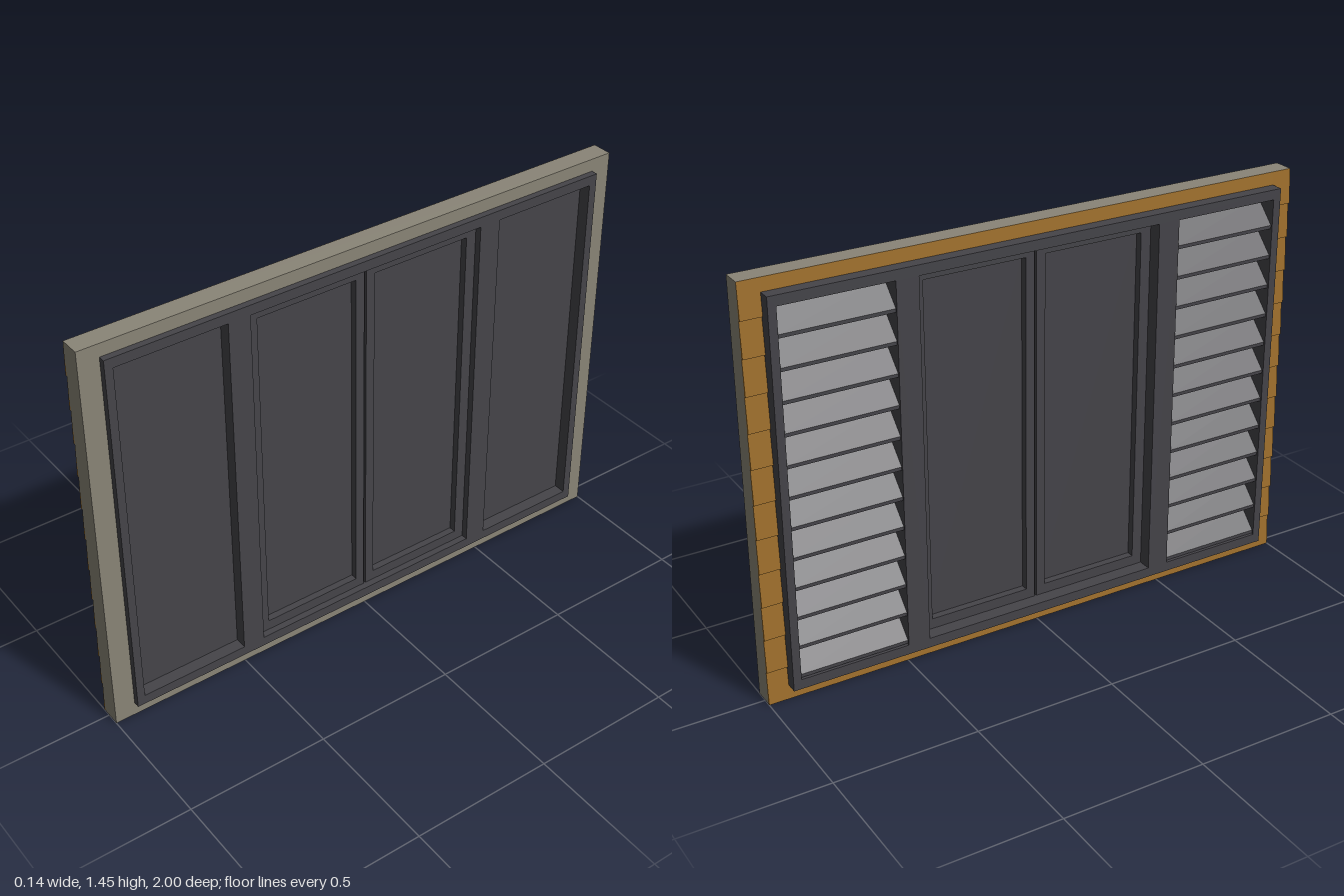
import * as THREE from 'three';

const wallMat = new THREE.MeshStandardMaterial({ color: 0x8a8577 });
wallMat.name = 'wall grey';
const sidingMat = new THREE.MeshStandardMaterial({ color: 0xa0702c });
sidingMat.name = 'siding brown';
const frameMat = new THREE.MeshStandardMaterial({ color: 0x454449 });
frameMat.name = 'frame charcoal';

const HEIGHT = 1.445, ROWS = 12, ROW = HEIGHT / ROWS;

function rect(target, z0, z1, y0, y1) {
  target.moveTo(z0, y0);
  target.lineTo(z1, y0);
  target.lineTo(z1, y1);
  target.lineTo(z0, y1);
  target.closePath();
  return target;
}

// Slab in the z-y plane with rectangular openings, spanning x0..x1
function slab(name, mat, outer, holes, x0, x1) {
  const shape = rect(new THREE.Shape(), ...outer);
  for (const h of holes) shape.holes.push(rect(new THREE.Path(), ...h));
  const geo = new THREE.ExtrudeGeometry(shape, { depth: x1 - x0, bevelEnabled: false });
  geo.rotateY(-Math.PI / 2);
  geo.translate(x1, 0, 0);
  const mesh = new THREE.Mesh(geo, mat);
  mesh.name = name;
  return mesh;
}

// Lapped boards: each row sticks out most at its lower edge
function siding(name, y0, y1, z0, z1) {
  const back = -0.024, out = y => -0.025 - 0.007 * (1 - y / ROW + Math.floor(y / ROW + 1e-6));
  const s = new THREE.Shape();
  s.moveTo(back, y0);
  s.lineTo(out(y0), y0);
  for (let i = 1; i < ROWS; i++) {
    const y = i * ROW;
    if (y <= y0 || y >= y1) continue;
    s.lineTo(-0.025, y);
    s.lineTo(-0.032, y);
  }
  s.lineTo(y1 >= HEIGHT ? -0.025 : out(y1), y1);
  s.lineTo(back, y1);
  s.closePath();
  const geo = new THREE.ExtrudeGeometry(s, { depth: z1 - z0, bevelEnabled: false });
  geo.translate(0, 0, z0);
  const mesh = new THREE.Mesh(geo, sidingMat);
  mesh.name = name;
  return mesh;
}

// Sloping louvre blades on the outer side of a side opening
function louvres(name, z0, z1) {
  const group = new THREE.Group();
  group.name = name;
  const pitch = 1.28 / 12;
  const s = new THREE.Shape();
  s.moveTo(-0.064, 0);
  s.lineTo(0.012, 0.078);
  s.lineTo(0.012, 0.090);
  s.lineTo(-0.064, 0.012);
  s.closePath();
  const geo = new THREE.ExtrudeGeometry(s, { depth: z1 - z0, bevelEnabled: false });
  for (let i = 0; i < 12; i++) {
    const blade = new THREE.Mesh(geo, frameMat);
    blade.name = 'louvreBlade';
    blade.position.set(0, 0.088 + i * pitch, z0);
    group.add(blade);
  }
  return group;
}

export function createModel() {
  const model = new THREE.Group();
  model.name = 'louvredWindowWall';

  // Wall surround and its boarded outer face
  model.add(slab('wall', wallMat, [-1, 1, 0, HEIGHT], [[-0.925, 0.925, 0.052, 1.398]], -0.025, 0.046));
  model.add(siding('sidingLeft', 0, HEIGHT, 0.925, 1));
  model.add(siding('sidingRight', 0, HEIGHT, -1, -0.925));
  model.add(siding('sidingBottom', 0, 0.052, -0.925, 0.925));
  model.add(siding('sidingTop', 1.398, HEIGHT, -0.925, 0.925));

  // Main frame with three openings
  model.add(slab('windowFrame', frameMat, [-0.928, 0.928, 0.05, 1.4], [
    [-0.9, -0.515, 0.085, 1.365],
    [-0.437, 0.437, 0.085, 1.365],
    [0.515, 0.9, 0.085, 1.365],
  ], -0.071, 0.069));

  for (const side of [-1, 1]) {
    const span = (a, b) => (side > 0 ? [a, b] : [-b, -a]);

    // Side bay: flat panel inside, louvres outside
    const bay = span(0.515, 0.9);
    model.add(slab('sidePanel', frameMat, [...bay, 0.085, 1.365], [], 0.012, 0.025));
    model.add(louvres('louvres', ...bay));

    // Centre sashes with a narrow gap between them
    const pane = [...span(0.036, 0.4), 0.122, 1.328];
    model.add(slab('sash', frameMat, [...span(0.004, 0.437), 0.085, 1.365], [pane], -0.022, 0.045));
    model.add(slab('pane', frameMat, pane, [], 0.004, 0.02));
  }
  return model;
}
